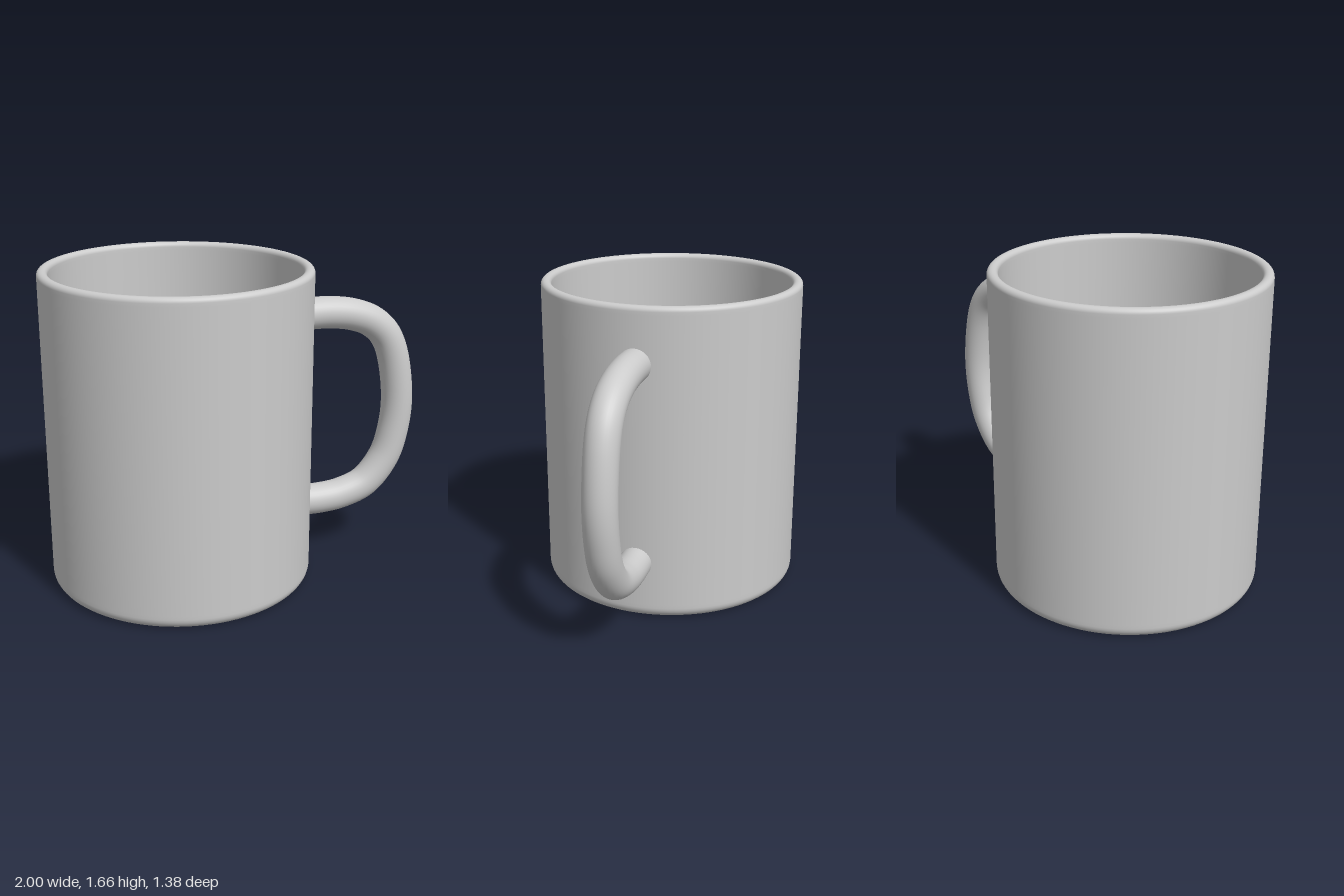
import * as THREE from 'three';

const material = new THREE.MeshStandardMaterial({ color: 0xcccccc, roughness: 0.6 });
const CENTER_X = -0.31;

// Points of a circular arc, angles in degrees
function arc(cx, cy, r, from, to, steps = 6) {
  return Array.from({ length: steps + 1 }, (_, i) => {
    const a = THREE.MathUtils.degToRad(from + ((to - from) * i) / steps);
    return new THREE.Vector2(cx + r * Math.cos(a), cy + r * Math.sin(a));
  });
}

// Cup: one closed profile running under the base, up the wall and down inside
function createCup() {
  const p = (x, y) => new THREE.Vector2(x, y);
  const profile = [
    p(0, 0.025), p(0.53, 0.025), p(0.545, 0.025), // recessed underside
    ...arc(0.575, 0.025, 0.025, 180, 270, 4), // inner edge of the foot
    ...arc(0.63, 0.06, 0.06, 270, 360, 8), // rounded base
    p(0.69, 0.08), p(0.69, 1.62),
    ...arc(0.665, 1.637, 0.025, 0, 90), // rim
    ...arc(0.66, 1.637, 0.025, 90, 180),
    p(0.635, 1.62), p(0.635, 0.13),
    ...arc(0.585, 0.11, 0.05, 0, -90), // inside corner
    p(0.56, 0.06), p(0, 0.06),
  ];
  const cup = new THREE.Mesh(new THREE.LatheGeometry(profile, 96), material);
  cup.name = 'cup';
  cup.position.x = CENTER_X;
  return cup;
}

// Handle: round tube whose ends are buried in the wall
function createHandle() {
  const path = new THREE.CatmullRomCurve3(
    [
      [0.36, 1.37], [0.5, 1.37], [0.63, 1.352], [0.74, 1.31], [0.82, 1.24], [0.873, 1.13],
      [0.915, 0.87], [0.9, 0.68], [0.851, 0.523], [0.739, 0.385], [0.6, 0.33],
      [0.48, 0.315], [0.36, 0.315],
    ].map(([x, y]) => new THREE.Vector3(x, y, 0)),
    false, 'centripetal');
  const handle = new THREE.Mesh(new THREE.TubeGeometry(path, 96, 0.085, 32), material);
  handle.name = 'handle';
  return handle;
}

export function createModel() {
  const mug = new THREE.Group();
  mug.name = 'mug';
  mug.add(createCup(), createHandle());
  return mug;
}
